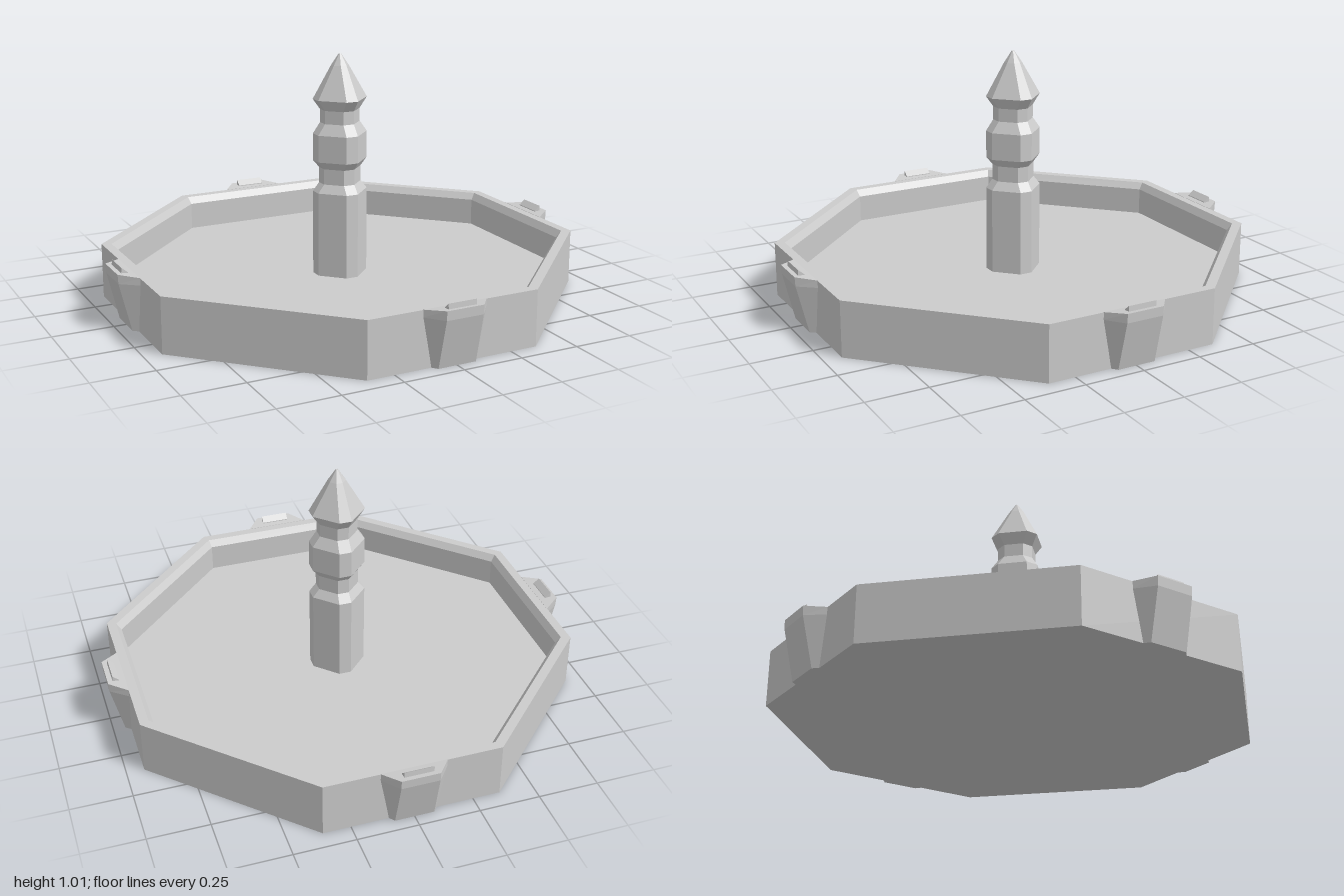
import * as THREE from 'three';

const material = new THREE.MeshStandardMaterial({ color: 0xcccccc, flatShading: true });

// Skins a list of rings (equal point counts, running from +x towards +z) with flat faces
function loft(name, rings) {
  const pos = [];
  const tri = (a, b, c) => {
    const n = new THREE.Vector3().subVectors(b, a).cross(new THREE.Vector3().subVectors(c, a));
    if (n.lengthSq() > 1e-14) for (const p of [a, b, c]) pos.push(p.x, p.y, p.z);
  };
  for (let i = 0; i < rings.length - 1; i++) {
    const lo = rings[i], hi = rings[i + 1];
    for (let j = 0; j < lo.length; j++) {
      const k = (j + 1) % lo.length;
      tri(lo[j], hi[j], lo[k]);
      tri(lo[k], hi[j], hi[k]);
    }
  }
  const g = new THREE.BufferGeometry();
  g.setAttribute('position', new THREE.Float32BufferAttribute(pos, 3));
  g.computeVertexNormals();
  const mesh = new THREE.Mesh(g, material);
  mesh.name = name;
  return mesh;
}

// Octagon with flats at distance a, each axis-facing flat 2h wide
function octagon(a, h, y) {
  return [[a, -h], [a, h], [h, a], [-h, a], [-a, h], [-a, -h], [-h, -a], [h, -a]]
    .map(([x, z]) => new THREE.Vector3(x, y, z));
}

// Trapezoid plan: half width wi at depth zi, half width wo at depth zo
function trapezoid(wi, zi, yi, wo, zo, yo) {
  return [[wi, yi, zi], [wo, yo, zo], [-wo, yo, zo], [-wi, yi, zi]]
    .map((p) => new THREE.Vector3(...p));
}

// Closes a stack of rings at both ends
function capped(rings) {
  const centre = (ring) => {
    const c = new THREE.Vector3();
    ring.forEach((p) => c.addScaledVector(p, 1 / ring.length));
    return ring.map(() => c);
  };
  return [centre(rings[0]), ...rings, centre(rings[rings.length - 1])];
}

export function createModel() {
  const model = new THREE.Group();
  model.name = 'fountain';

  // Basin: underside, outer wall, rim, bevel, inner wall and floor
  model.add(loft('basin', capped([
    [0.928, 0.362, 0], [0.928, 0.362, 0.229], [0.89, 0.346, 0.229],
    [0.87, 0.338, 0.2], [0.87, 0.338, 0.083],
  ].map((r) => octagon(...r)))));

  // Central column with a waist, a collar and a pointed finial
  model.add(loft('column', capped([
    [0.113, 0.026, 0.07], [0.113, 0.026, 0.44], [0.085, 0.024, 0.475],
    [0.085, 0.024, 0.54], [0.112, 0.026, 0.572], [0.112, 0.026, 0.685],
    [0.08, 0.024, 0.73], [0.08, 0.024, 0.785], [0.112, 0.026, 0.83],
    [0.034, 0.013, 0.967], [0.005, 0.003, 1.013],
  ].map((r) => octagon(...r)))));

  // Four leaning buttresses, each with a small wedge on top
  for (let i = 0; i < 4; i++) {
    const side = new THREE.Group();
    side.name = 'buttress' + (i + 1);
    side.add(loft('bracket', capped([
      trapezoid(0.135, 0.88, 0, 0.08, 0.95, 0),
      trapezoid(0.135, 0.927, 0.2, 0.078, 0.998, 0.2),
      trapezoid(0.135, 0.927, 0.23, 0.078, 1.0, 0.238),
    ])));
    side.add(loft('wedge', capped([
      trapezoid(0.06, 0.953, 0.23, 0.06, 0.98, 0.23),
      trapezoid(0.06, 0.953, 0.236, 0.06, 0.978, 0.257),
    ])));
    side.rotation.y = i * Math.PI / 2;
    model.add(side);
  }
  return model;
}
